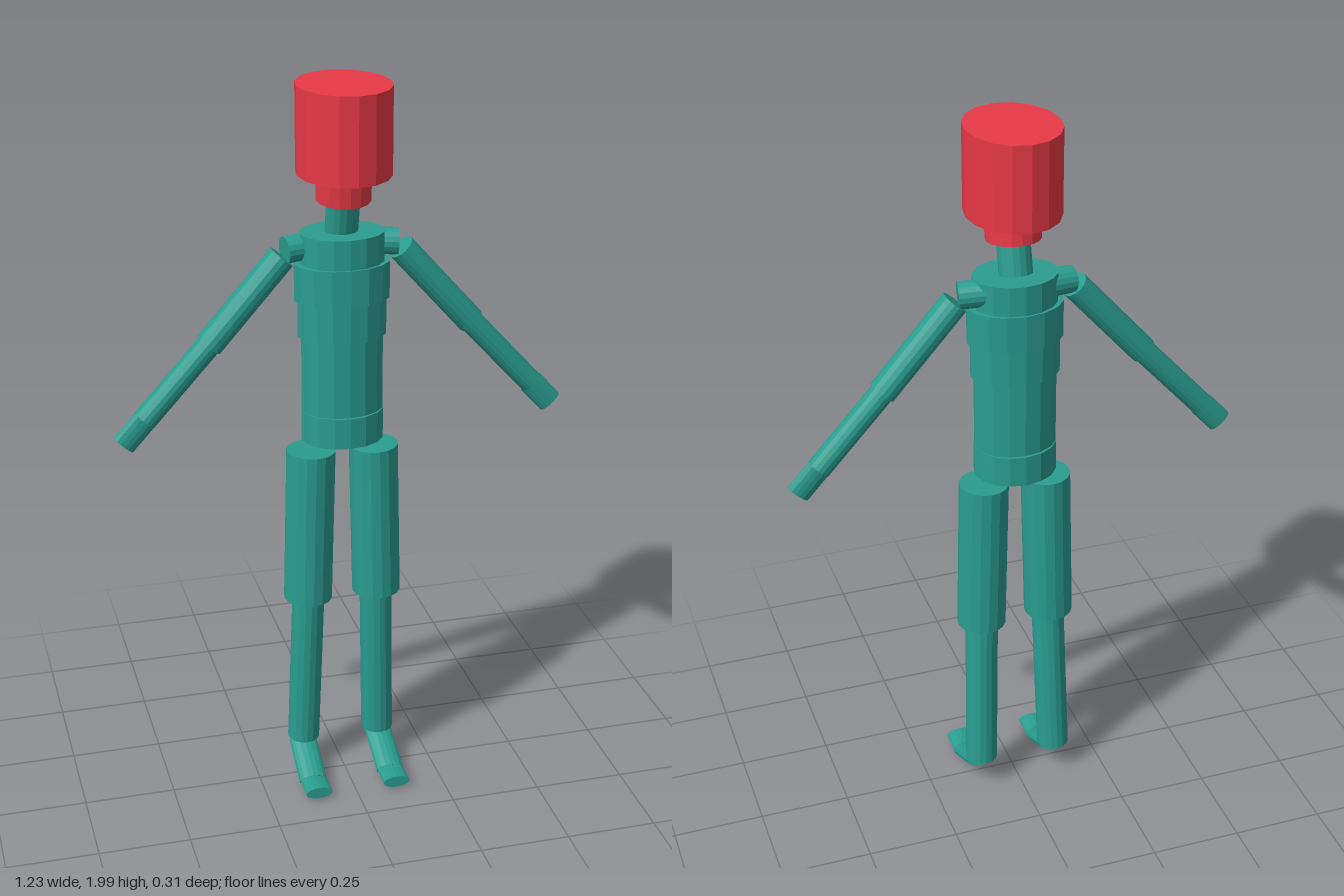
import * as THREE from 'three';

const teal = new THREE.MeshStandardMaterial({ color: 0x2a9d8f, flatShading: true });
teal.name = 'teal body';
const red = new THREE.MeshStandardMaterial({ color: 0xe63946, flatShading: true });
red.name = 'red head';

// Faceted oval cylinder running from point a to point b; rx and rz are its half widths
function segment(name, a, b, rx, rz, material = teal) {
  const start = new THREE.Vector3(...a);
  const end = new THREE.Vector3(...b);
  const dir = end.clone().sub(start);
  const geometry = new THREE.CylinderGeometry(1, 1, dir.length(), 16);
  geometry.scale(rx, 1, rz);
  const mesh = new THREE.Mesh(geometry, material);
  mesh.name = name;
  mesh.position.copy(start).add(end).multiplyScalar(0.5);
  mesh.quaternion.setFromUnitVectors(new THREE.Vector3(0, 1, 0), dir.normalize());
  return mesh;
}

function createArm(s) {
  const arm = new THREE.Group();
  arm.name = s > 0 ? 'leftArm' : 'rightArm';
  const z = -0.027;
  arm.add(
    segment('shoulder', [s * 0.06, 1.575, -0.045], [s * 0.152, 1.57, z], 0.036, 0.036),
    segment('upperArm', [s * 0.357, 1.33, z], [s * 0.16, 1.553, z], 0.037, 0.039),
    segment('forearm', [s * 0.532, 1.138, z], [s * 0.357, 1.33, z], 0.032, 0.033),
    segment('hand', [s * 0.592, 1.072, z], [s * 0.532, 1.138, z], 0.034, 0.017),
  );
  return arm;
}

function createLeg(s) {
  const leg = new THREE.Group();
  leg.name = s > 0 ? 'leftLeg' : 'rightLeg';
  leg.add(
    segment('thigh', [s * 0.098, 0.56, -0.027], [s * 0.087, 1.004, -0.025], 0.067, 0.068),
    segment('shin', [s * 0.109, 0.1, -0.049], [s * 0.097, 0.56, -0.027], 0.045, 0.045),
    segment('foot', [s * 0.112, 0.087, -0.047], [s * 0.113, 0.026, 0.08], 0.039, 0.022),
    segment('toes', [s * 0.113, 0.028, 0.08], [s * 0.113, 0.028, 0.153], 0.038, 0.017),
  );
  return leg;
}

export function createModel() {
  const model = new THREE.Group();
  model.name = 'mannequin';

  // Torso, stacked from the hips up: name, bottom, top, half width, half depth
  const torso = new THREE.Group();
  torso.name = 'torso';
  for (const [name, y0, y1, rx, rz] of [
    ['hips', 1.035, 1.12, 0.112, 0.095],
    ['abdomen', 1.12, 1.33, 0.111, 0.087],
    ['ribs', 1.33, 1.43, 0.12, 0.092],
    ['chest', 1.43, 1.53, 0.129, 0.095],
    ['upperChest', 1.53, 1.61, 0.113, 0.09],
  ]) torso.add(segment(name, [0, y0, -0.026], [0, y1, -0.026], rx, rz));
  model.add(torso);

  // Tilted neck and upright head
  model.add(
    segment('neck', [0, 1.61, -0.033], [0, 1.7, -0.011], 0.044, 0.042),
    segment('headBase', [0, 1.7, -0.013], [0, 1.77, -0.005], 0.072, 0.074, red),
    segment('head', [0, 1.77, -0.007], [0, 2, -0.007], 0.123, 0.147, red),
  );

  for (const s of [-1, 1]) model.add(createArm(s), createLeg(s));
  return model;
}
